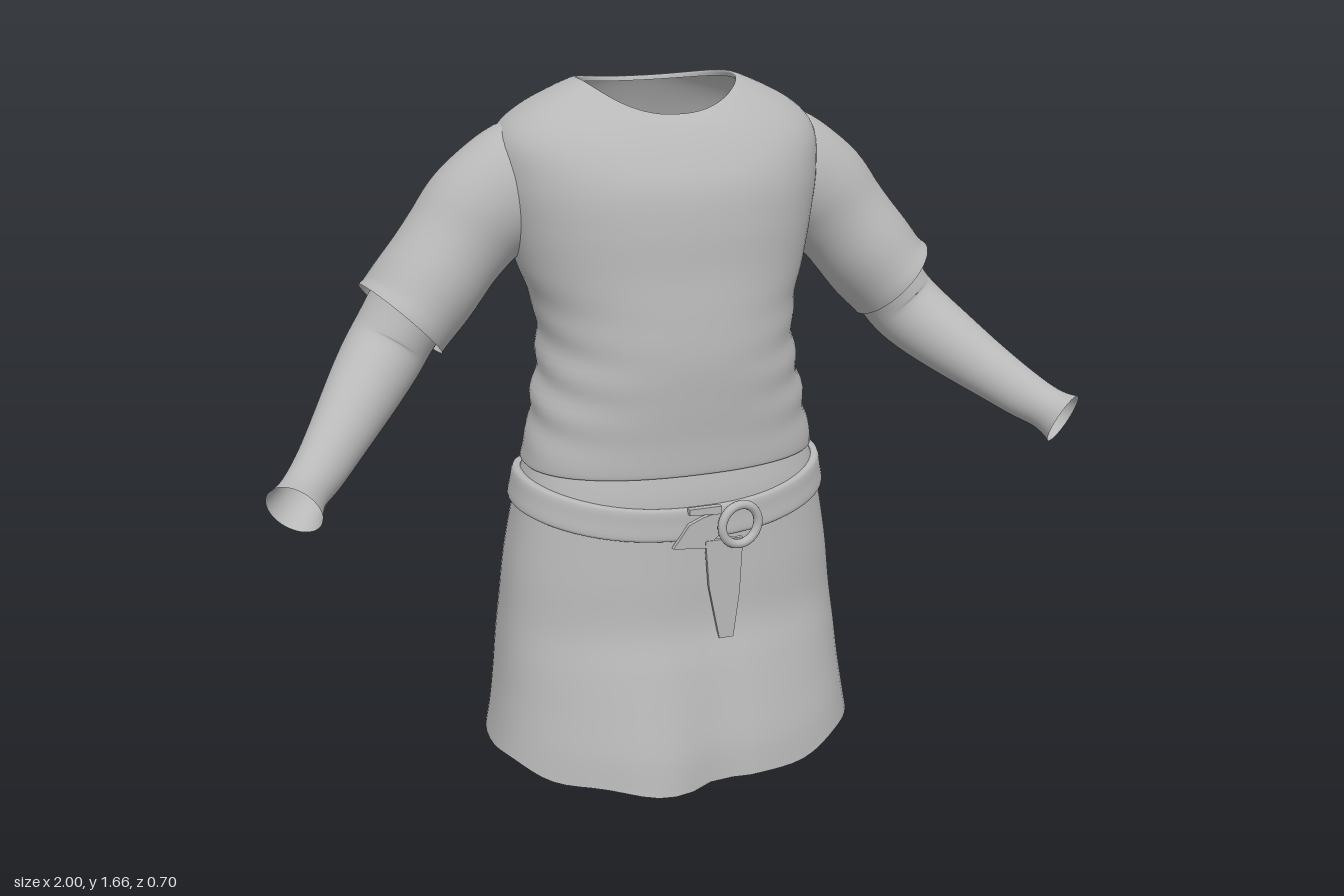
import * as THREE from 'three';

const SEG = 72;
const cloth = new THREE.MeshStandardMaterial({ color: 0xb8b8b8, side: THREE.DoubleSide });
cloth.name = 'grey cloth';

// Smooth interpolation through rows of numbers
function sampleRows(rows, u) {
  const f = u * (rows.length - 1), i = Math.min(Math.floor(f), rows.length - 2), t = f - i;
  const at = (k) => rows[Math.max(0, Math.min(rows.length - 1, k))];
  return rows[0].map((_, n) => {
    const a = at(i - 1)[n], b = at(i)[n], c = at(i + 1)[n], d = at(i + 2)[n];
    return b + 0.5 * t * (c - a + t * (2 * a - 5 * b + 4 * c - d + t * (3 * (b - c) + d - a)));
  });
}

// Open tube skinned over closed rings; point(u, angle) gives the surface
function skin(name, steps, point) {
  const pos = [], idx = [];
  for (let i = 0; i <= steps; i++) {
    for (let j = 0; j < SEG; j++) {
      pos.push(...point(i / steps, (j / SEG) * Math.PI * 2));
      if (i === steps) continue;
      const a = i * SEG + j, b = i * SEG + ((j + 1) % SEG);
      idx.push(a, b, b + SEG, a, b + SEG, a + SEG);
    }
  }
  const g = new THREE.BufferGeometry();
  g.setAttribute('position', new THREE.Float32BufferAttribute(pos, 3));
  g.setIndex(idx);
  g.computeVertexNormals();
  const mesh = new THREE.Mesh(g, cloth);
  mesh.name = name;
  return mesh;
}

// Body ring row: [yFront, ySide, yBack, halfWidth, zFront, zBack, zWidest]
function bodyPoint(row, t, power = 0.88) {
  const [yf, ys, yb, w, zf, zb, zc] = row, s = Math.sin(t), c = Math.cos(t);
  const bend = (v) => Math.sign(v) * Math.abs(v) ** power;
  return [
    w * bend(s),
    ys + ((c > 0 ? yf : yb) - ys) * c * c,
    zc + (c > 0 ? zf - zc : zc - zb) * bend(c),
  ];
}
const bump = (x, mid, width) => Math.exp(-(((x - mid) / width) ** 2));

const torsoRows = [
  [0.785, 0.785, 0.75, 0.35, 0.215, -0.225, 0],
  [0.78, 0.78, 0.745, 0.365, 0.224, -0.242, 0],
  [0.86, 0.86, 0.84, 0.347, 0.226, -0.225, 0],
  [0.95, 0.95, 0.95, 0.33, 0.232, -0.22, -0.01],
  [1.05, 1.05, 1.05, 0.312, 0.235, -0.235, -0.02],
  [1.15, 1.15, 1.15, 0.318, 0.226, -0.265, -0.03],
  [1.25, 1.25, 1.25, 0.35, 0.213, -0.298, -0.05],
  [1.35, 1.35, 1.35, 0.375, 0.205, -0.315, -0.07],
  [1.44, 1.45, 1.46, 0.395, 0.188, -0.313, -0.09],
  [1.51, 1.545, 1.55, 0.39, 0.152, -0.28, -0.095],
  [1.57, 1.61, 1.61, 0.325, 0.108, -0.253, -0.09],
  [1.597, 1.668, 1.65, 0.2, 0.074, -0.23, -0.08],
  [1.59, 1.655, 1.64, 0.193, 0.066, -0.222, -0.08],
];

const skirtRows = [
  [0.015, 0.065, 0.012, 0.47, 0.335, -0.312, 0],
  [0.1, 0.13, 0.1, 0.458, 0.325, -0.312, 0],
  [0.2, 0.21, 0.2, 0.446, 0.302, -0.336, 0],
  [0.3, 0.3, 0.3, 0.436, 0.277, -0.35, 0],
  [0.4, 0.4, 0.4, 0.424, 0.25, -0.345, 0],
  [0.52, 0.52, 0.52, 0.411, 0.242, -0.318, 0],
  [0.64, 0.64, 0.64, 0.391, 0.234, -0.28, 0],
  [0.72, 0.72, 0.72, 0.374, 0.23, -0.25, 0],
  [0.8, 0.8, 0.8, 0.348, 0.212, -0.22, 0],
];

const beltRows = [
  [0.628, 0.682, 0.655, 0.376, 0.225, -0.268, 0],
  [0.624, 0.678, 0.652, 0.396, 0.245, -0.288, 0],
  [0.662, 0.715, 0.686, 0.391, 0.244, -0.276, 0],
  [0.7, 0.752, 0.722, 0.382, 0.241, -0.263, 0],
  [0.698, 0.75, 0.72, 0.36, 0.22, -0.24, 0],
];

// Arm row: [x, y, z, radius across, radius front to back]
const sleeveRows = [
  [0.24, 1.445, -0.1, 0.15, 0.115],
  [0.33, 1.425, -0.1, 0.152, 0.13],
  [0.42, 1.375, -0.1, 0.137, 0.13],
  [0.485, 1.305, -0.095, 0.127, 0.128],
  [0.55, 1.225, -0.09, 0.124, 0.138],
  [0.6, 1.165, -0.085, 0.122, 0.145],
  [0.63, 1.135, -0.08, 0.122, 0.145],
];
const forearmRows = [
  [0.57, 1.21, -0.09, 0.098, 0.11],
  [0.625, 1.125, -0.09, 0.096, 0.108],
  [0.68, 1.05, -0.07, 0.094, 0.1],
  [0.77, 0.965, 0.045, 0.08, 0.078],
  [0.865, 0.885, 0.17, 0.062, 0.06],
  [0.915, 0.85, 0.235, 0.055, 0.055],
  [0.945, 0.828, 0.275, 0.066, 0.066],
];

function arm(name, rows, side, wrinkle) {
  const at = (u) => {
    const r = sampleRows(rows, u);
    return [new THREE.Vector3(r[0] * side, r[1], r[2]), r[3], r[4]];
  };
  return skin(name, 36, (u, t) => {
    const [p, ra, rb] = at(u);
    const d = at(Math.min(1, u + 0.02))[0].sub(at(Math.max(0, u - 0.02))[0]).normalize();
    const v = new THREE.Vector3(0, 0, 1).addScaledVector(d, -d.z).normalize();
    const a = new THREE.Vector3().crossVectors(d, v);
    const k = 1 + wrinkle * Math.sin(u * 19 + Math.cos(t) * 2);
    return p.addScaledVector(a, Math.sin(t) * ra * k).addScaledVector(v, Math.cos(t) * rb * k).toArray();
  });
}

// Flat leather piece with a small thickness
function plate(name, points, depth, z, tilt = 0) {
  const shape = new THREE.Shape(points.map(([x, y]) => new THREE.Vector2(x, y)));
  const mesh = new THREE.Mesh(new THREE.ExtrudeGeometry(shape, { depth, bevelEnabled: false }), cloth);
  mesh.name = name;
  mesh.position.z = z;
  mesh.rotation.x = tilt;
  return mesh;
}

export function createModel() {
  const model = new THREE.Group();
  model.name = 'belted tunic';

  // Torso with a shallow spine valley and waist creases
  model.add(skin('torso', 72, (u, t) => {
    const p = bodyPoint(sampleRows(torsoRows, u), t), c = Math.cos(t);
    const low = bump(p[1], 0.98, 0.16);
    p[0] *= 1 + 0.018 * low * Math.sin(p[1] * 62 + c * 3);
    if (c < 0) p[2] += 0.022 * bump(p[0], 0, 0.05) * bump(p[1], 1.2, 0.25) + 0.005 * low * Math.sin(p[1] * 50 + p[0] * 9);
    return p;
  }));

  // Skirt with front fold, seat shape and uneven hem
  model.add(skin('skirt', 56, (u, t) => {
    const p = bodyPoint(sampleRows(skirtRows, u), t), c = Math.cos(t), low = (1 - u) ** 2;
    p[1] += low * 0.006 * Math.sin(t * 9);
    if (c > 0) p[2] += low * (0.022 * bump(p[0], -0.15, 0.1) - 0.025 * bump(p[0], 0.02, 0.05));
    else p[2] += 0.035 * bump(p[0], 0, 0.07) * bump(p[1], 0.32, 0.17)
      - 0.012 * (bump(p[0], 0.14, 0.08) + bump(p[0], -0.14, 0.08)) * bump(p[1], 0.32, 0.14);
    return p;
  }));

  // Belt band
  model.add(skin('belt', 16, (u, t) => bodyPoint(sampleRows(beltRows, u), t)));

  // Sleeves, mirrored
  for (const [label, side] of [['left', 1], ['right', -1]]) {
    model.add(arm(label + ' short sleeve', sleeveRows, side, 0.008));
    model.add(arm(label + ' under sleeve', forearmRows, side, 0.012));
  }

  // Buckle ring, prong, knot tab and hanging strap
  const buckle = new THREE.Mesh(new THREE.TorusGeometry(0.049, 0.011, 10, 32), cloth);
  buckle.name = 'buckle ring';
  buckle.position.set(0.09, 0.655, 0.262);
  buckle.rotation.y = 0.15;
  model.add(buckle);
  model.add(plate('belt tab', [[-0.075, 0.61], [0.005, 0.602], [0.05, 0.64], [0.045, 0.69], [0, 0.68], [-0.035, 0.665]], 0.012, 0.243));
  model.add(plate('belt loop', [[-0.035, 0.69], [0.045, 0.685], [0.045, 0.705], [-0.035, 0.705]], 0.016, 0.242));
  model.add(plate('hanging strap', [[0.005, 0.62], [0.1, 0.62], [0.093, 0.48], [0.078, 0.365], [0.042, 0.365], [0.015, 0.5]], 0.01, 0.247));
  return model;
}
